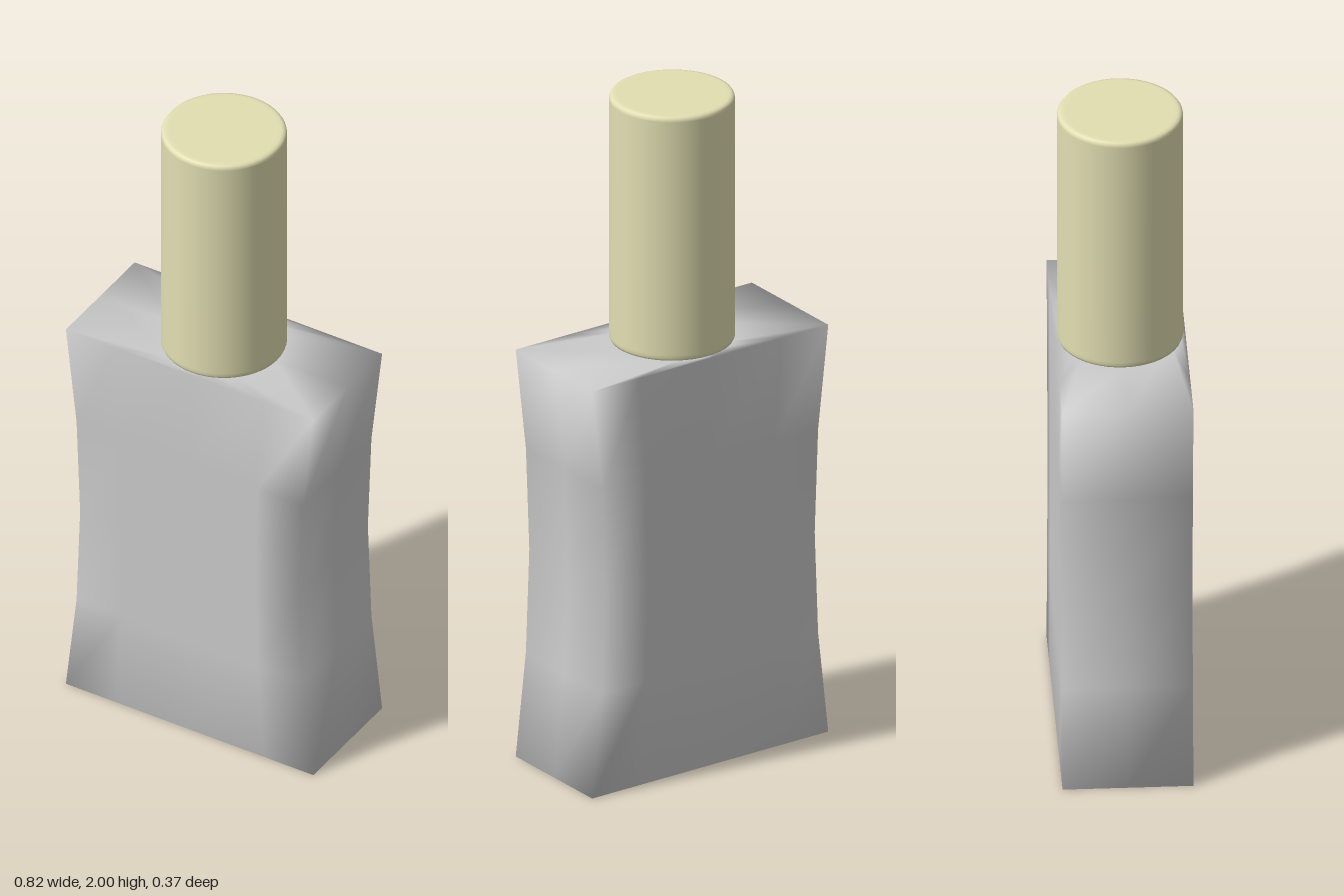
import * as THREE from 'three';

// Outline of the bottle seen from above, counterclockwise, in half-widths
const OUTLINE = [
  [1, 0], [1, -1], [0.6, -1], [0, -1], [-0.6, -1], [-1, -1],
  [-1, 0], [-1, 1], [-0.6, 1], [0, 1], [0.6, 1], [1, 1],
];
const HEIGHT = 1.25, HALF_W = 0.41, HALF_D = 0.185;

// Box-like ring, narrower in x towards mid height
function outerRing(y) {
  const t = (2 * y) / HEIGHT - 1;
  const w = HALF_W * (0.885 + 0.115 * t * t);
  return OUTLINE.map(([x, z]) => [x * w, y, z * HALF_D]);
}

// Oval ring used on the base and the shoulder
function ovalRing(rx, rz, y) {
  return OUTLINE.map(([x, z]) => {
    const l = Math.hypot(x, z) || 1;
    return [(x / l) * rx, y, (z / l) * rz];
  });
}

// Smooth skin through a list of closed rings
function loft(rings) {
  const n = OUTLINE.length, index = [];
  for (let j = 0; j < rings.length - 1; j++) {
    for (let i = 0; i < n; i++) {
      const k = (i + 1) % n;
      const a = j * n + i, b = j * n + k, c = b + n, d = a + n;
      index.push(a, b, c, a, c, d);
    }
  }
  const g = new THREE.BufferGeometry();
  g.setAttribute('position', new THREE.Float32BufferAttribute(rings.flat(2), 3));
  g.setIndex(index);
  g.computeVertexNormals();
  return g;
}

export function createModel() {
  const group = new THREE.Group();

  // Bottle: recessed base, waisted sides, flat shoulder
  const rings = [
    ovalRing(0.001, 0.001, 0.08),
    ovalRing(0.22, 0.1, 0.08),
    ovalRing(0.25, 0.12, 0),
    ...[0, 0.25, 0.5, 0.75, 1].map((t) => outerRing(t * HEIGHT)),
    ovalRing(0.17, 0.17, HEIGHT),
    ovalRing(0.001, 0.001, HEIGHT),
  ];
  const bottle = new THREE.Mesh(loft(rings), new THREE.MeshStandardMaterial({ color: 0xcccccc }));
  bottle.name = 'bottle';
  group.add(bottle);

  // Cap: tall cylinder with softly rounded rims
  const profile = [
    [0, 1.25], [0.168, 1.25], [0.175, 1.253], [0.178, 1.26], [0.178, 1.27],
    [0.178, 1.985], [0.177, 1.992], [0.173, 1.998], [0.165, 2], [0.155, 2], [0, 2],
  ].map(([x, y]) => new THREE.Vector2(x, y));
  const cap = new THREE.Mesh(
    new THREE.LatheGeometry(profile, 48),
    new THREE.MeshStandardMaterial({ color: 0xe2dfb2 }),
  );
  cap.name = 'cap';
  group.add(cap);

  return group;
}
